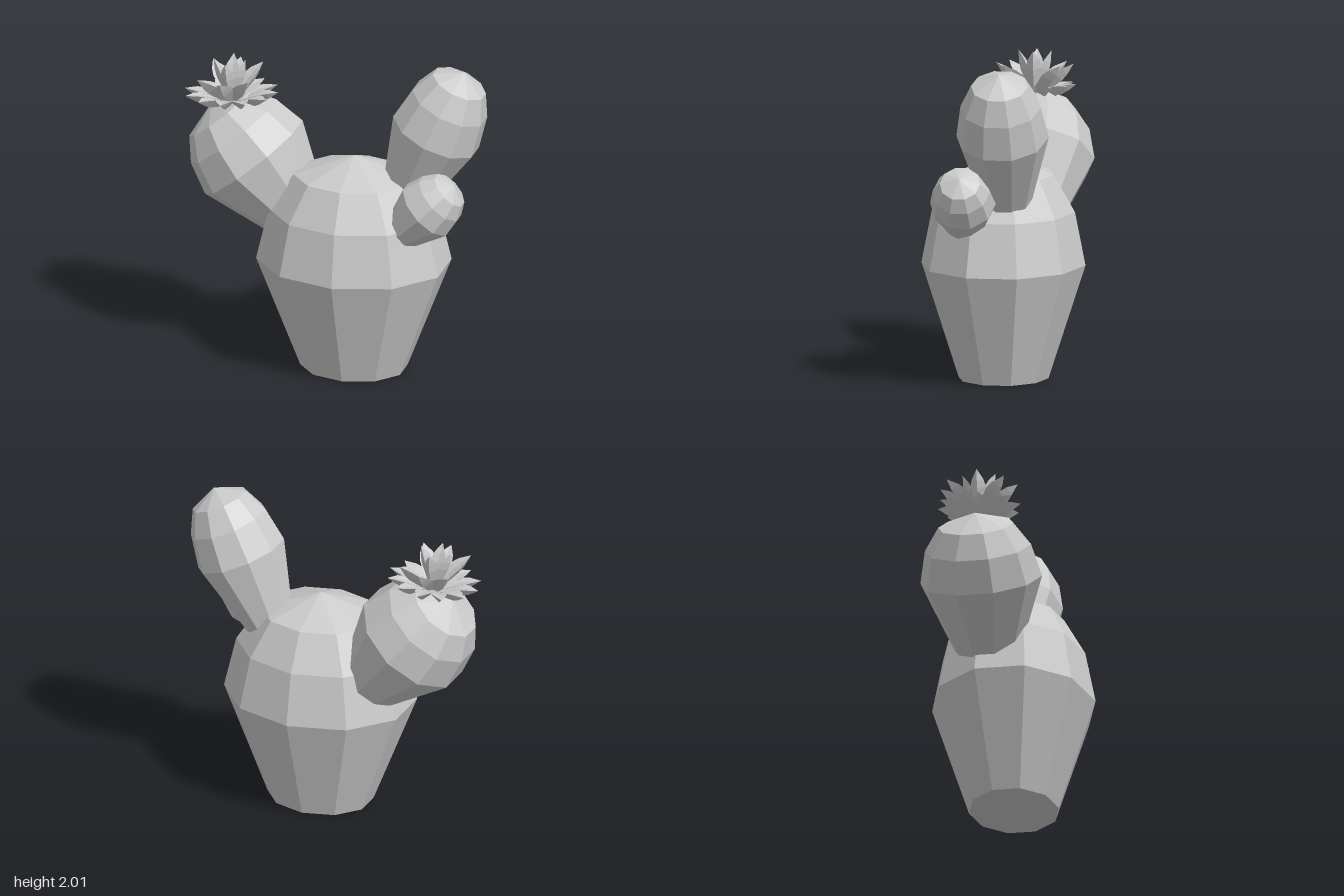
import * as THREE from 'three';

const material = new THREE.MeshStandardMaterial({ color: 0xcccccc, flatShading: true });

// Shared ten-sided bulb profile: [radius, height]
const PROFILE = [[0, 0], [0.28, 0], [0.51, 0.71], [0.445, 1.04], [0.315, 1.27], [0, 1.4]];
const WIDEST = 0.71;

const lathe = (points, sides) =>
  new THREE.LatheGeometry(points.map(([r, y]) => new THREE.Vector2(r, y)), sides);

// A bulb whose widest ring is centred on the given point, leaning by `lean` degrees
function bulb(name, [x, y, z], lean, scale) {
  const geometry = lathe(PROFILE, 10);
  geometry.translate(0, -WIDEST, 0);
  geometry.scale(...scale);
  const mesh = new THREE.Mesh(geometry, material);
  mesh.name = name;
  mesh.position.set(x, y, z);
  mesh.rotation.z = THREE.MathUtils.degToRad(lean);
  return mesh;
}

// A pointed petal along +z, folded into a V and curling upward
function petalGeometry(length, width, curl) {
  const geometry = lathe([[0, 0], [0.6, 0.02], [1, 0.62], [0.75, 0.78], [0, 1]], 4);
  geometry.rotateX(Math.PI / 2);
  geometry.scale(width, width * 0.45, length);
  const p = geometry.attributes.position;
  for (let i = 0; i < p.count; i++) {
    const t = p.getZ(i) / length;
    p.setY(i, p.getY(i) + Math.abs(p.getX(i)) * 0.6 + curl * t * t);
  }
  return geometry;
}

// A ring of petals at the given headings (degrees from the front), each raised by `rise`
function petalRing(name, headings, rise, length, width, curl) {
  const ring = new THREE.Group();
  ring.name = name;
  const geometry = petalGeometry(length, width, curl);
  geometry.rotateX(-THREE.MathUtils.degToRad(rise));
  for (const heading of headings) {
    const petal = new THREE.Mesh(geometry, material);
    petal.name = 'petal';
    petal.rotation.y = THREE.MathUtils.degToRad(heading);
    ring.add(petal);
  }
  return ring;
}

export function createModel() {
  const model = new THREE.Group();
  model.name = 'cactus';

  // Trunk and its three arms
  model.add(
    bulb('trunk', [0.15, WIDEST, 0], 0, [1.2, 1, 1]),
    bulb('floweringArm', [-0.52, 1.27, -0.1], 39.4, [0.745, 0.62, 0.745]),
    bulb('tallArm', [0.66, 1.59, -0.06], -23.8, [0.563, 0.66, 0.563]),
    bulb('smallArm', [0.67, 1.17, 0.185], -45, [0.4, 0.366, 0.4]),
  );

  // Flower: spreading outer petals, raised middle petals and an upright heart
  const flower = new THREE.Group();
  flower.name = 'flower';
  flower.position.set(-0.655, 1.62, -0.09);
  flower.rotation.z = 0.06;
  const around = (count, start = 0) => Array.from({ length: count }, (_, i) => start + (i * 360) / count);
  const outer = petalRing('outerPetals', around(12, 0), 10, 0.31, 0.055, 0.03);
  outer.scale.z = 0.86;
  flower.add(
    outer,
    petalRing('middlePetals', [0, 42, 138, 180, 222, 318], 36, 0.32, 0.055, 0.03),
    petalRing('innerPetals', around(4, 0), 67, 0.31, 0.05, 0.02),
  );
  model.add(flower);

  return model;
}
